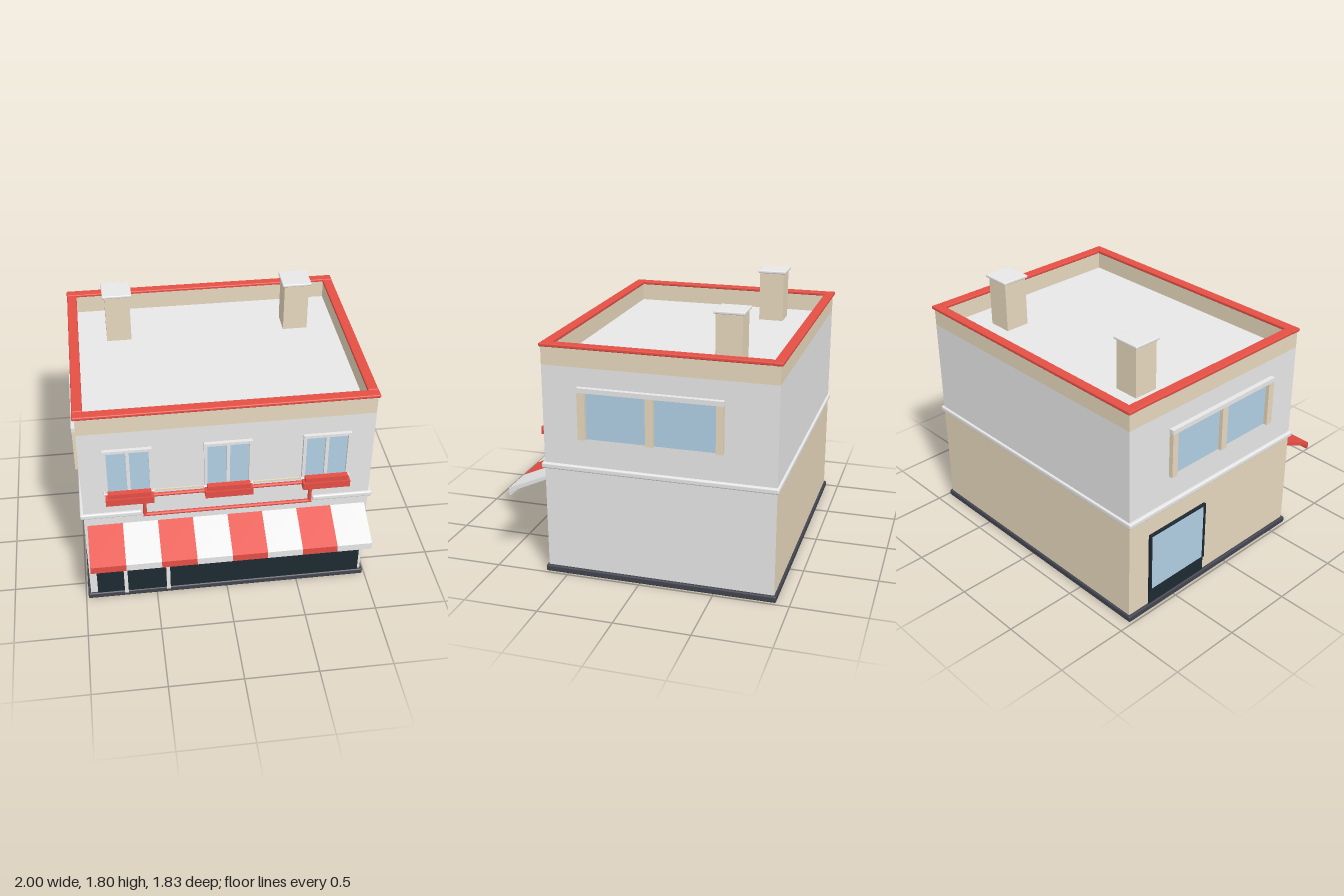
import * as THREE from 'three';
import { RoundedBoxGeometry } from 'three/addons/geometries/RoundedBoxGeometry.js';

const mat = (name, color) => {
  const m = new THREE.MeshStandardMaterial({ color });
  m.name = name;
  return m;
};

export function createModel() {
  const white = mat('plaster white', 0xe8e8e8);
  const tan = mat('sand render', 0xe8d9be);
  const red = mat('signal red', 0xe54f45);
  const glass = mat('window blue', 0xb1cfe4);
  const dark = mat('shopfront navy', 0x1e2932);
  const slate = mat('plinth slate', 0x42444e);

  const model = new THREE.Group();
  model.name = 'cornerShop';

  const add = (name, geo, material, parent = model) => {
    const mesh = new THREE.Mesh(geo, material);
    mesh.name = name;
    parent.add(mesh);
    return mesh;
  };
  // Box given by its limits on each axis; r > 0 rounds the edges
  const box = (name, material, [x0, x1], [y0, y1], [z0, z1], r = 0, parent = model) => {
    const s = [x1 - x0, y1 - y0, z1 - z0];
    const geo = r ? new RoundedBoxGeometry(...s, 2, r) : new THREE.BoxGeometry(...s);
    geo.translate((x0 + x1) / 2, (y0 + y1) / 2, (z0 + z1) / 2);
    return add(name, geo, material, parent);
  };
  const group = (name) => {
    const g = new THREE.Group();
    g.name = name;
    model.add(g);
    return g;
  };

  const W = 0.965, F = 0.64, B = -0.895;

  // Walls: two storeys, roof deck on top of the upper one
  box('plinth', slate, [-0.984, 0.984], [0, 0.044], [-0.91, 0.657], 0.01);
  box('groundFloor', [white, tan, white, white, white, tan], [-W, W], [0.02, 0.76], [B, F]);
  box('upperFloor', white, [-W, W], [0.76, 1.44], [B, F]);

  // Parapet with red coping
  const parapet = group('parapet');
  box('parapetFront', tan, [-W, W], [1.44, 1.565], [0.585, F], 0, parapet);
  box('parapetBack', tan, [-W, W], [1.44, 1.565], [B, -0.845], 0, parapet);
  box('copingFront', red, [-0.98, 0.98], [1.56, 1.583], [0.578, 0.648], 0.007, parapet);
  box('copingBack', red, [-0.98, 0.98], [1.56, 1.583], [-0.91, -0.845], 0.007, parapet);
  for (const s of [-1, 1]) {
    const span = (a, b) => (s > 0 ? [a, b] : [-b, -a]);
    box('parapetSide', tan, span(0.915, W), [1.44, 1.565], [-0.845, 0.585], 0, parapet);
    box('copingSide', red, span(0.91, 0.978), [1.56, 1.583], [-0.845, 0.578], 0.007, parapet);

    // Chimneys
    const chimney = group('chimney');
    box('chimneyShaft', tan, span(0.543, 0.715), [1.43, 1.79], [-0.6, -0.427], 0, chimney);
    box('chimneyCap', white, span(0.528, 0.732), [1.785, 1.805], [-0.615, -0.415], 0.007, chimney);

    // String course, left open at the centre of the front
    box('stringCourseSide', white, span(0.95, 0.988), [0.745, 0.782], [-0.91, 0.658], 0.01);
    box('stringCourseFront', white, span(0.577, 0.988), [0.745, 0.782], [0.62, 0.658], 0.01);

    // Side windows
    const win = group('sideWindow');
    box('sideGlass', glass, span(W - 0.003, W + 0.004), [0.97, 1.29], [-0.52, 0.36], 0, win);
    for (const [z0, z1] of [[0.345, 0.395], [-0.106, -0.055], [-0.556, -0.51]])
      box('sidePost', tan, span(W - 0.01, 0.996), [0.97, 1.287], [z0, z1], 0, win);
    box('sideLintel', white, span(W - 0.01, 0.998), [1.285, 1.316], [-0.558, 0.397], 0, win);
  }
  box('stringCourseBack', white, [-0.988, 0.988], [0.745, 0.782], [-0.91, -0.875], 0.01);

  // Front windows with sills and flower boxes
  for (const x of [-0.652, 0, 0.65]) {
    const win = group('frontWindow');
    win.position.x = x;
    box('pane', glass, [-0.145, 0.145], [0.96, 1.295], [F - 0.003, F + 0.005], 0, win);
    for (const [a, b] of [[-0.158, -0.137], [-0.011, 0.011], [0.137, 0.158]])
      box('stile', white, [a, b], [0.96, 1.3], [F - 0.01, 0.665], 0, win);
    box('head', white, [-0.158, 0.158], [1.29, 1.31], [F - 0.01, 0.665], 0, win);
    box('sill', white, [-0.167, 0.167], [0.948, 0.967], [F - 0.01, 0.672], 0.007, win);
    box('flowerBox', red, [-0.158, 0.158], [0.909, 0.96], [0.667, 0.727], 0, win);
    box('flowerBoxTop', red, [-0.142, 0.142], [0.96, 0.995], [0.678, 0.718], 0, win);
  }

  // Red pipe frame below the windows
  const frame = group('pipeFrame');
  const z = 0.672;
  const pipe = (name, a, b) => add(name, new THREE.TubeGeometry(
    new THREE.LineCurve3(new THREE.Vector3(...a, z), new THREE.Vector3(...b, z)), 1, 0.013, 10), red, frame);
  pipe('upperRail', [-0.65, 0.932], [0.65, 0.932]);
  pipe('lowerRail', [-0.57, 0.766], [0.565, 0.766]);
  for (const x of [-0.557, 0.552]) pipe('dropPipe', [x, 0.932], [x, 0.76]);
  box('railLedge', tan, [-0.65, 0.65], [0.944, 0.954], [F - 0.01, 0.651], 0, frame);

  // Striped awning: one sloped panel with a valance per stripe
  const awning = group('awning');
  const profile = new THREE.Shape([[0.635, 0.678], [0.635, 0.652], [0.907, 0.53], [0.907, 0.503],
    [0.919, 0.503], [0.919, 0.554]].map(p => new THREE.Vector2(...p)));
  const stripe = 1.89 / 8;
  for (let i = 0; i < 8; i++) {
    const geo = new THREE.ExtrudeGeometry(profile, { depth: stripe, bevelEnabled: false });
    geo.rotateY(-Math.PI / 2).translate(-0.945 + stripe * (i + 1), 0, 0);
    add('awningStripe', geo, i % 2 ? white : red, awning);
  }

  // Shopfront with door
  const shop = group('shopfront');
  box('shopPanel', dark, [-0.915, 0.945], [0.04, 0.6], [F - 0.01, 0.649], 0, shop);
  for (const x of [0.087, 0.516])
    box('shopMullion', dark, [x - 0.013, x + 0.013], [0.16, 0.6], [0.64, 0.658], 0, shop);
  for (const x of [-0.714, -0.417])
    box('doorPost', white, [x - 0.013, x + 0.013], [0.04, 0.57], [0.63, 0.67], 0, shop);
  box('doorLeaf', dark, [-0.685, -0.44], [0.045, 0.57], [0.64, 0.654], 0, shop);
  box('doorGlass', glass, [-0.67, -0.46], [0.33, 0.545], [0.652, 0.657], 0, shop);
  box('doorKnob', white, [-0.483, -0.458], [0.272, 0.302], [0.65, 0.668], 0.006, shop);

  // Side shop window
  const side = group('sideShopWindow');
  box('sidePanel', dark, [-0.973, -0.955], [0.04, 0.6], [-0.725, -0.215], 0, side);
  box('sidePane', glass, [-0.977, -0.97], [0.16, 0.59], [-0.715, -0.225], 0, side);
  for (const c of [-0.718, -0.222])
    box('sideJamb', dark, [-0.985, -0.96], [0.16, 0.6], [c - 0.007, c + 0.007], 0, side);
  box('sideHead', dark, [-0.985, -0.96], [0.588, 0.6], [-0.725, -0.215], 0, side);

  return model;
}
